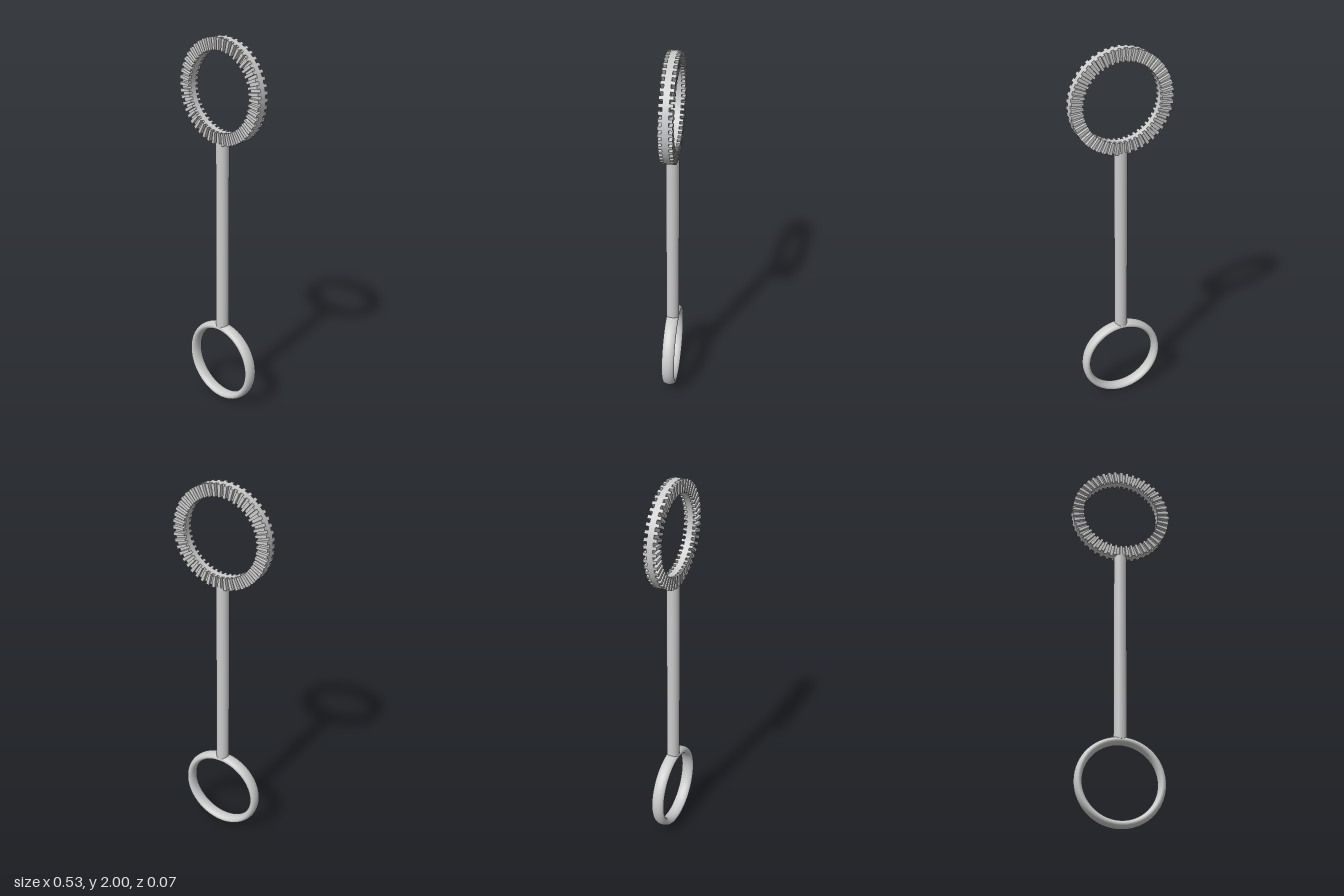
import * as THREE from 'three';
import { toCreasedNormals } from 'three/addons/utils/BufferGeometryUtils.js';

const TEETH = 48;
const GEAR_Y = 1.733, OUTER = 0.267, INNER = 0.204;
const HALF = 0.034, CORE = 0.016; // half depth of toothed ring and of its solid core

const material = new THREE.MeshStandardMaterial({ color: 0xcccccc });

function part(name, geometry, y = 0) {
  const mesh = new THREE.Mesh(geometry, material);
  mesh.name = name;
  mesh.position.y = y;
  return mesh;
}

// Solid band of the toothed ring, facets aligned with the teeth
function bandGeometry() {
  const profile = [[OUTER, -CORE], [OUTER, CORE], [INNER, CORE], [INNER, -CORE], [OUTER, -CORE]]
    .map(([r, y]) => new THREE.Vector2(r, y));
  const g = new THREE.LatheGeometry(profile, TEETH * 2, Math.PI / (TEETH * 2));
  g.rotateX(Math.PI / 2);
  return toCreasedNormals(g, 0.5);
}

// One radial tooth, pointing along +x and rising toward +z
function toothGeometry() {
  const a = Math.PI / (TEETH * 2);
  const corner = (r, t) => new THREE.Vector2(r * Math.cos(t), r * Math.sin(t));
  const shape = new THREE.Shape([corner(INNER, -a), corner(OUTER, -a), corner(OUTER, a), corner(INNER, a)]);
  const g = new THREE.ExtrudeGeometry(shape, { depth: HALF - CORE, bevelEnabled: false });
  g.translate(0, 0, CORE);
  return g;
}

export function createModel() {
  const model = new THREE.Group();
  model.name = 'ringWand';

  // Toothed ring at the top
  const toothedRing = new THREE.Group();
  toothedRing.name = 'toothedRing';
  toothedRing.position.y = GEAR_Y;
  toothedRing.add(part('ringBand', bandGeometry()));
  const tooth = toothGeometry();
  for (const side of ['front', 'back']) {
    const row = new THREE.Group();
    row.name = side + 'Teeth';
    if (side === 'back') row.rotation.y = Math.PI;
    for (let i = 0; i < TEETH; i++) {
      const mesh = part('tooth', tooth);
      mesh.rotation.z = (i / TEETH) * Math.PI * 2;
      row.add(mesh);
    }
    toothedRing.add(row);
  }
  model.add(toothedRing);

  // Straight round shaft
  const bottom = 0.44, top = 1.475;
  model.add(part('shaft', new THREE.CylinderGeometry(0.034, 0.034, top - bottom, 48), (top + bottom) / 2));

  // Handle ring with an oval section, deeper than it is thick
  const handle = new THREE.TorusGeometry(0.207, 0.021, 32, 96);
  handle.scale(1, 1, HALF / 0.021);
  model.add(part('handleRing', handle, 0.228));

  return model;
}
